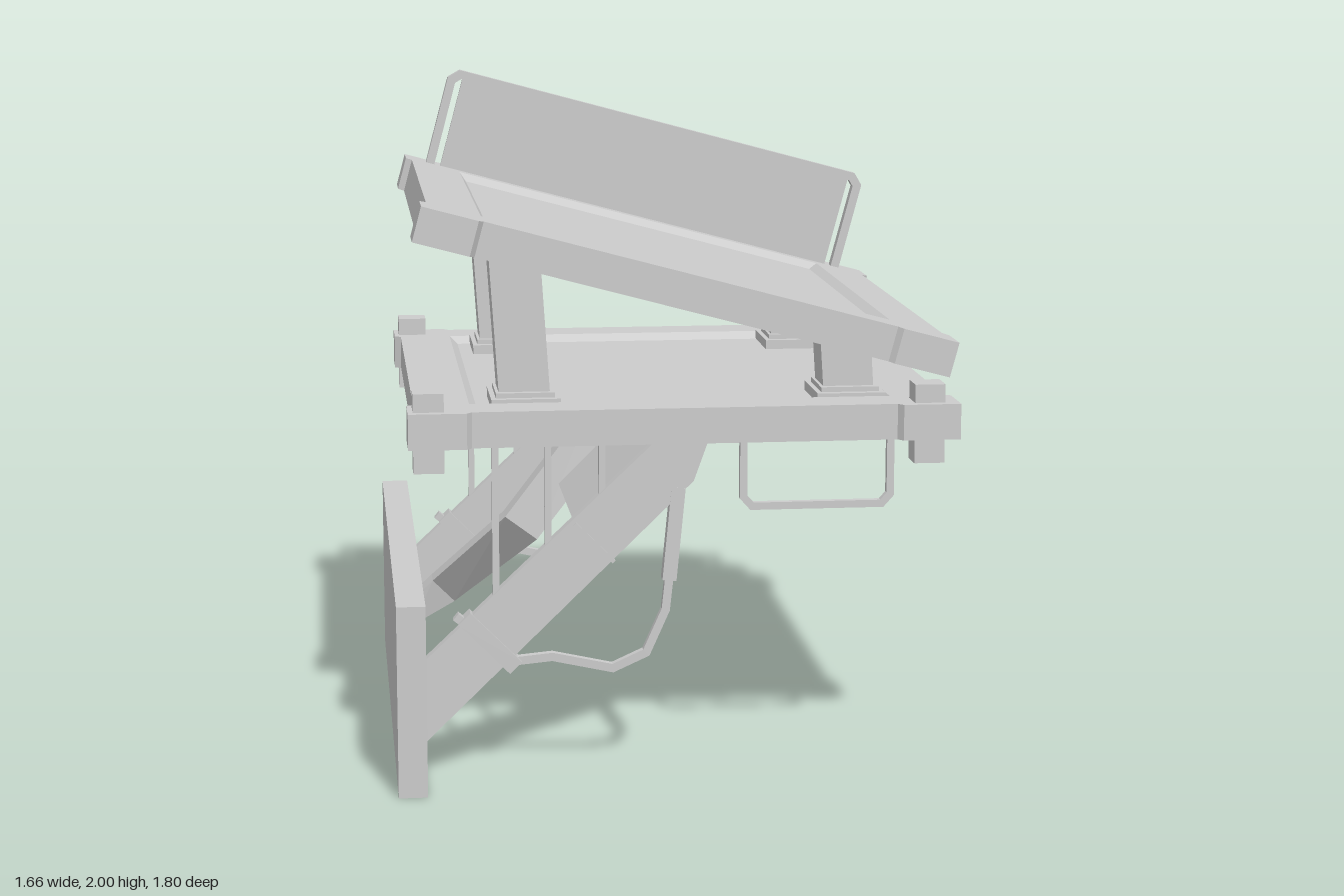
import * as THREE from 'three';

const mat = new THREE.MeshStandardMaterial({ color: 0xcccccc, flatShading: true });
const Z0 = -0.022; // middle of the platform in z

function add(parent, name, geo, x = 0, y = 0, z = 0) {
  const m = new THREE.Mesh(geo, mat);
  m.name = name;
  m.position.set(x, y, z);
  parent.add(m);
  return m;
}

const box = (w, h, d) => new THREE.BoxGeometry(w, h, d);

// Solid through a row of four-cornered sections, capped at both ends
function loft(sections) {
  const pos = sections.flat(2), idx = [], n = sections.length;
  for (let i = 0; i < n - 1; i++) {
    for (let k = 0; k < 4; k++) {
      const a = i * 4 + k, b = i * 4 + (k + 1) % 4;
      idx.push(a, a + 4, b + 4, a, b + 4, b);
    }
  }
  const e = (n - 1) * 4;
  idx.push(0, 1, 2, 0, 2, 3, e, e + 2, e + 1, e, e + 3, e + 2);
  const g = new THREE.BufferGeometry();
  g.setAttribute('position', new THREE.Float32BufferAttribute(pos, 3));
  g.setIndex(idx);
  const flat = g.toNonIndexed();
  flat.computeVertexNormals();
  return flat;
}

// Mitred rectangular bar along a path in the xy plane
function bar(path, width, depth) {
  const pts = path.map(p => new THREE.Vector2(...p)), h = width / 2, d = depth / 2;
  return loft(pts.map((p, i) => {
    const t0 = p.clone().sub(pts[Math.max(i - 1, 0)]).normalize();
    const t1 = pts[Math.min(i + 1, pts.length - 1)].clone().sub(p).normalize();
    const t = t0.clone().add(t1).normalize();
    const s = h / t.dot(i ? t0 : t1);
    const nx = -t.y * s, ny = t.x * s;
    return [[p.x + nx, p.y + ny, d], [p.x + nx, p.y + ny, -d],
      [p.x - nx, p.y - ny, -d], [p.x - nx, p.y - ny, d]];
  }));
}

// Profile in xy extruded along z, centred on z = 0
function slice(points, depth) {
  const s = new THREE.Shape(points.map(p => new THREE.Vector2(...p)));
  return new THREE.ExtrudeGeometry(s, { depth, bevelEnabled: false }).translate(0, 0, -depth / 2);
}

// Square outline with slightly projecting corners
function slabShape() {
  const R = 0.81, B = 0.79, cx = 0.64, cz = 0.665, c = 0.015;
  const q = [[B, cz - c], [R, cz], [R, R], [cx, R], [cx - c, B]];
  const pts = [];
  [[1, 1], [-1, 1], [-1, -1], [1, -1]].forEach(([sx, sy]) => {
    const part = q.map(([x, y]) => new THREE.Vector2(x * sx, y * sy));
    pts.push(...(sx * sy > 0 ? part : part.reverse()));
  });
  return new THREE.Shape(pts);
}

// Slab with a sloped recess on top, and optionally below
function makeSlab(name, both) {
  const g = new THREE.Group(), H = 0.106, r = 0.022;
  g.name = name;
  const core = new THREE.ExtrudeGeometry(slabShape(), { depth: H - r * (both ? 2 : 1), bevelEnabled: false });
  core.rotateX(-Math.PI / 2);
  add(g, 'slabCore', core, 0, -H / 2 + (both ? r : 0), 0);
  const ring = slabShape(), hx = 0.626, hz = 0.652;
  ring.holes.push(new THREE.Path([[-hx, -hz], [-hx, hz], [hx, hz], [hx, -hz]].map(p => new THREE.Vector2(...p))));
  const rim = new THREE.ExtrudeGeometry(ring, { depth: r, bevelEnabled: false });
  const p = rim.attributes.position;
  for (let i = 0; i < p.count; i++) {
    if (p.getZ(i) < r / 2 && Math.abs(p.getX(i)) < hx + 0.001 && Math.abs(Math.abs(p.getY(i)) - hz) < 0.001
      && Math.abs(Math.abs(p.getX(i)) - hx) < 0.001) {
      p.setXY(i, Math.sign(p.getX(i)) * (hx - 0.025), Math.sign(p.getY(i)) * (hz - 0.032));
    }
  }
  rim.rotateX(-Math.PI / 2);
  rim.computeVertexNormals();
  add(g, 'topRim', rim, 0, H / 2 - r, 0);
  if (both) add(g, 'bottomRim', rim, 0, -H / 2 + r, 0).rotation.x = Math.PI;
  return g;
}

export function createModel() {
  const root = new THREE.Group();
  root.name = 'tiltedPlatform';

  // Wall plate
  add(root, 'wallPlate', box(0.085, 0.57, 1.8), -0.7925, 0.285, 0);

  // Lower platform with corner pegs
  const platform = makeSlab('platform', false);
  platform.position.set(0.02, 1.057, Z0);
  root.add(platform);
  for (const x of [-0.75, 0.723]) {
    for (const z of [-0.737, 0.737]) add(platform, 'cornerPeg', box(0.09, 0.235, 0.09), x, -0.01, z);
  }

  // Tilted upper deck
  const deck = makeSlab('deck', true);
  deck.position.set(0.025, 1.45, Z0);
  deck.rotation.z = -Math.PI / 12;
  root.add(deck);

  // Posts with foot and head plates
  for (const z of [-0.515, 0.515]) {
    [[-0.437, 1.57, -0.489], [0.535, 1.3, 0.537]].forEach(([x, top, u]) => {
      const lean = (top - 1.1) * 0.065;
      const sec = (cx, y) => [[cx - 0.076, y, 0.072], [cx - 0.076, y, -0.072], [cx + 0.076, y, -0.072], [cx + 0.076, y, 0.072]];
      add(root, 'post', loft([sec(x, 1.1), sec(x - lean, top)]), 0, 0, z + Z0);
      add(root, 'postFoot', box(0.205, 0.035, 0.24), x, 1.1, z + Z0);
      add(root, 'postFootStep', box(0.175, 0.02, 0.19), x, 1.122, z + Z0);
      add(deck, 'postHead', box(0.18, 0.045, 0.22), u, -0.047, z);
    });
  }

  // Side guard: frame and infill panel
  const guard = new THREE.Group();
  guard.name = 'guard';
  guard.position.z = -0.72;
  deck.add(guard);
  add(guard, 'guardFrame', bar([[-0.725, 0.03], [-0.725, 0.34], [-0.7, 0.365], [0.675, 0.365], [0.7, 0.34], [0.7, 0.03]], 0.028, 0.04));
  add(guard, 'guardPanel', box(1.355, 0.325, 0.018), -0.0125, 0.2, 0);

  // Legs and their fittings, one set on each side
  const legProfile = [[-0.76, 0.095], [0.05, 0.88], [0.095, 1.005], [-0.06, 1.005], [-0.76, 0.345]];
  for (const side of [-1, 1]) {
    const g = new THREE.Group();
    g.name = side > 0 ? 'frontLegSet' : 'backLegSet';
    g.position.z = Z0 + side * 0.705;
    root.add(g);
    add(g, 'leg', slice(legProfile, 0.04));
    add(g, 'clamp', box(0.215, 0.05, 0.058), -0.555, 0.405, 0).rotation.z = -0.79;
    add(g, 'clampBolt', bar([[-0.6, 0.44], [-0.655, 0.485]], 0.025, 0.03));
    add(g, 'legBand', box(0.165, 0.012, 0.052), -0.245, 0.7, 0).rotation.z = -0.79;
    [[-0.535, 0.47], [-0.38, 0.65], [-0.22, 0.81]].forEach(([x, y]) =>
      add(g, 'hangerRod', box(0.02, 1.01 - y, 0.02), x, (1.01 + y) / 2, 0));
    add(g, 'cableSleeve', bar([[0.005, 0.86], [-0.022, 0.58]], 0.042, 0.042));
    add(g, 'cable', bar([[-0.02, 0.6], [-0.032, 0.49], [-0.09, 0.36], [-0.19, 0.315], [-0.37, 0.355], [-0.48, 0.345]], 0.025, 0.025));
    add(g, 'handle', bar([[0.2, 1.01], [0.2, 0.825], [0.225, 0.797], [0.615, 0.797], [0.64, 0.825], [0.64, 1.01]], 0.022, 0.022));
  }

  // Cross beam between the legs
  add(root, 'crossBeam', slice([[-0.19, 0.65], [0.05, 0.88], [0.09, 0.985], [-0.06, 0.985], [-0.3, 0.75]], 1.38), 0, 0, Z0);

  // Cranked centre strut from the platform down to the wall plate
  const strutSection = (lower, upper, z) => [[...lower, z + 0.045], [...lower, z - 0.045], [...upper, z - 0.045], [...upper, z + 0.045]];
  add(root, 'centreStrut', loft([
    strutSection([-0.03, 1.005], [-0.19, 1.005], 0.015),
    strutSection([-0.37, 0.575], [-0.47, 0.65], 0.045),
    strutSection([-0.62, 0.31], [-0.69, 0.38], -0.245),
    strutSection([-0.755, 0.225], [-0.755, 0.31], -0.278),
  ]));
  return root;
}
